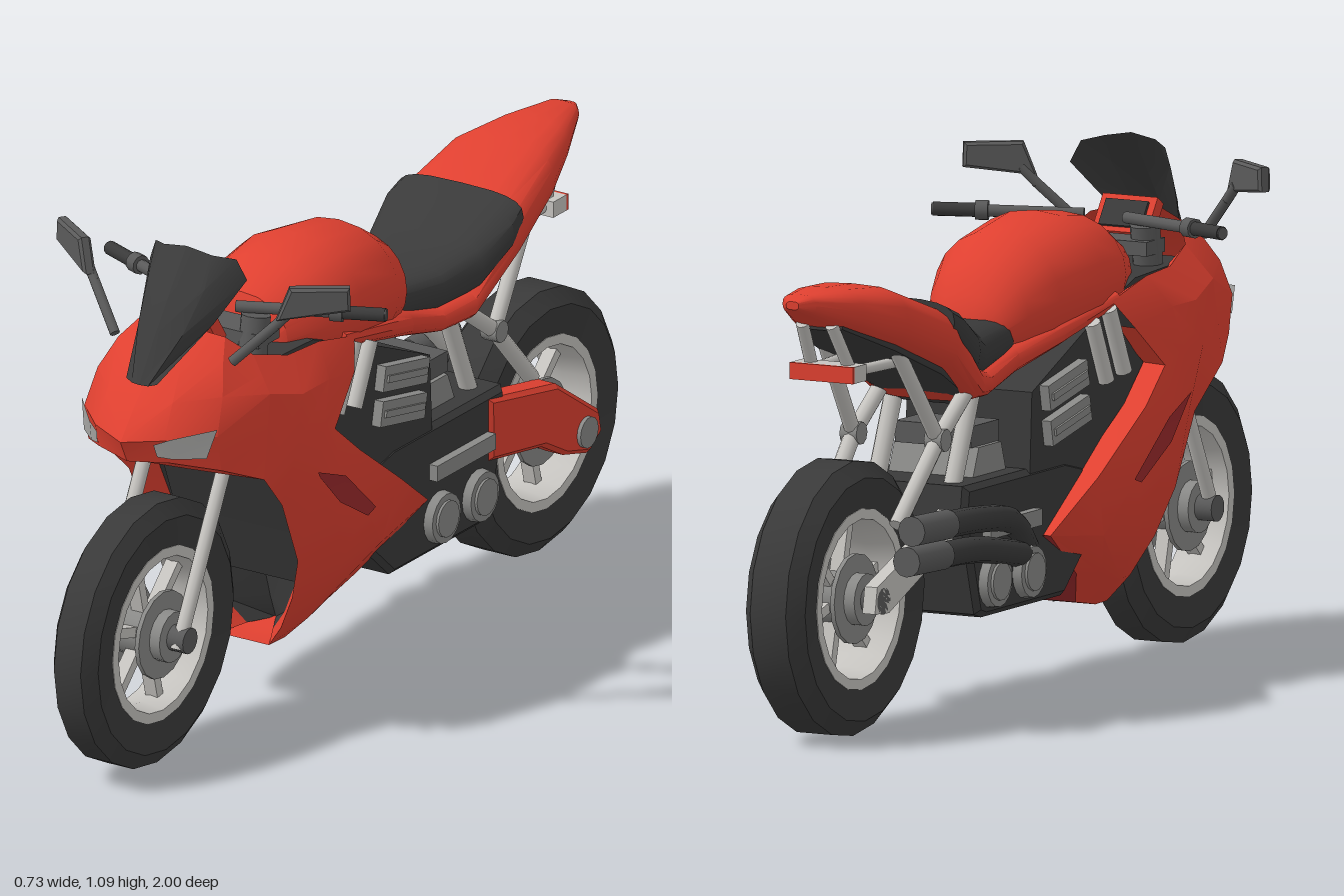
import * as THREE from 'three';
import { toCreasedNormals } from 'three/addons/utils/BufferGeometryUtils.js';

const flat = (name, color, side = THREE.FrontSide) => {
  const m = new THREE.MeshStandardMaterial({ color, side });
  m.name = name;
  return m;
};

export function createModel() {
  const model = new THREE.Group();
  model.name = 'motorcycle';
  const red = flat('red paint', 0xdf4030, THREE.DoubleSide);
  const darkRed = flat('dark red', 0x9c2a2c, THREE.DoubleSide);
  const black = flat('black', 0x3a3a3a, THREE.DoubleSide);
  const tyreMat = flat('tyre rubber', 0x3a3a3a);
  const dark = flat('dark grey', 0x5a5a5a);
  const mid = flat('mid grey', 0x8a8a88);
  const light = flat('light metal', 0xc6c4c0);
  const lens = flat('headlight lens', 0xa6a6a4, THREE.DoubleSide);

  const add = (name, geo, mat, parent = model) => {
    const m = new THREE.Mesh(geo, mat);
    m.name = name;
    parent.add(m);
    return m;
  };
  const box = (name, mat, w, h, d, x, y, z, rx = 0) => {
    const m = add(name, new THREE.BoxGeometry(w, h, d), mat);
    m.position.set(x, y, z);
    m.rotation.x = rx;
    return m;
  };
  const rod = (name, mat, a, b, r, n = 10, r2 = r) => {
    const p = new THREE.Vector3(...a), q = new THREE.Vector3(...b);
    const m = add(name, new THREE.CylinderGeometry(r2, r, p.distanceTo(q), n), mat);
    m.position.copy(p).add(q).multiplyScalar(0.5);
    m.quaternion.setFromUnitVectors(new THREE.Vector3(0, 1, 0), q.sub(p).normalize());
    return m;
  };
  // side profile of [z, y] points, extruded from x0 to x1
  const profile = (name, mat, pts, x0, x1, bevel = 0) => {
    const shape = new THREE.Shape(pts.map(([z, y]) => new THREE.Vector2(-z, y)));
    const geo = new THREE.ExtrudeGeometry(shape, {
      depth: x1 - x0 - 2 * bevel, bevelEnabled: bevel > 0,
      bevelSize: bevel, bevelThickness: bevel, bevelOffset: -bevel, bevelSegments: 1 });
    return add(name, geo.rotateY(Math.PI / 2).translate(x0 + bevel, 0, 0), mat);
  };
  const finish = (pos, idx, crease) => {
    const g = new THREE.BufferGeometry();
    g.setAttribute('position', new THREE.Float32BufferAttribute(pos, 3));
    g.setIndex(idx);
    g.computeVertexNormals();
    return toCreasedNormals(g, crease);
  };
  // skin through rows of points (top to bottom, front to back), made on both sides
  const skin = (name, mat, rows, crease = 0.5) => {
    for (const s of [1, -1]) {
      const n = rows[0].length, idx = [];
      const pos = rows.flat().flatMap(([x, y, z]) => [x * s, y, z]);
      for (let i = 0; i < rows.length - 1; i++) for (let j = 0; j < n - 1; j++) {
        const a = i * n + j, b = a + 1, c = a + n, d = c + 1;
        idx.push(...(s > 0 ? [a, c, b, b, c, d] : [a, b, c, b, d, c]));
      }
      add((s > 0 ? 'left ' : 'right ') + name, finish(pos, idx, crease), mat);
    }
  };
  // rounded cross-sections [z, halfWidth, bottom, top] joined from front to back
  const loft = (name, mat, sections, px = 0.7, py = 0.8, n = 20) => {
    const pos = [], idx = [];
    const pw = (v, p) => Math.sign(v) * Math.abs(v) ** p;
    for (const [z, w, b, t] of sections) for (let j = 0; j < n; j++) {
      const a = j / n * Math.PI * 2;
      pos.push(w * pw(Math.cos(a), px), (b + t) / 2 + (t - b) / 2 * pw(Math.sin(a), py), z);
    }
    const last = sections.length - 1;
    for (let i = 0; i < last; i++) for (let j = 0; j < n; j++) {
      const k = (j + 1) % n, a = i * n + j, b = i * n + k;
      idx.push(a, a + n, b, b, a + n, b + n);
    }
    for (let j = 1; j < n - 1; j++) {
      idx.push(0, j, j + 1, last * n, last * n + j + 1, last * n + j);
    }
    return add(name, finish(pos, idx, 0.6), mat);
  };

  // wheels
  const wheel = (name, z, w) => {
    const g = new THREE.Group();
    g.name = name;
    g.position.set(0, 0.288, z);
    model.add(g);
    const ring = (part, mat, pts) => add(part, toCreasedNormals(new THREE.LatheGeometry(
      pts.map(p => new THREE.Vector2(...p)), 20).rotateZ(Math.PI / 2), 0.6), mat, g);
    ring('tyre', tyreMat, [[0.187, -w * 0.85], [0.255, -w], [0.288, -w * 0.6],
      [0.288, w * 0.6], [0.255, w], [0.187, w * 0.85], [0.187, -w * 0.85]]);
    const r = w * 0.88;
    ring('rim', light, [[0.168, -r], [0.19, -r], [0.19, r], [0.168, r], [0.16, 0], [0.168, -r]]);
    for (let i = 0; i < 6; i++) {
      const a = i * Math.PI / 3 + 0.25;
      const s = add('spoke', new THREE.BoxGeometry(0.03, 0.13, 0.022), light, g);
      s.position.set(0, Math.cos(a) * 0.11, Math.sin(a) * 0.11);
      s.rotation.x = a;
    }
    const disc = (part, mat, rad, len, x = 0) =>
      add(part, new THREE.CylinderGeometry(rad, rad, len, 16).rotateZ(Math.PI / 2), mat, g).position.x = x;
    disc('hub', mid, 0.055, 0.15);
    disc('axle', dark, 0.028, 0.23);
    disc('right brake disc', mid, 0.095, 0.01, -0.045);
    disc('left brake disc', mid, 0.095, 0.01, 0.045);
  };
  wheel('front wheel', 0.712, 0.055);
  wheel('rear wheel', -0.712, 0.07);

  // nose cowl, with a lip turned under it
  skin('nose cowl', red, [
    [[0, 0.925, 0.6], [0.05, 0.93, 0.59], [0.105, 0.915, 0.565], [0.145, 0.87, 0.52]],
    [[0, 0.865, 0.68], [0.06, 0.88, 0.66], [0.13, 0.88, 0.61], [0.1725, 0.835, 0.53]],
    [[0, 0.8, 0.745], [0.08, 0.815, 0.725], [0.155, 0.82, 0.65], [0.2, 0.8, 0.54]],
    [[0, 0.735, 0.8], [0.085, 0.745, 0.765], [0.165, 0.745, 0.685], [0.2025, 0.71, 0.555]],
    [[0, 0.685, 0.775], [0.09, 0.69, 0.745], [0.165, 0.665, 0.67], [0.205, 0.62, 0.57]],
    [[0, 0.658, 0.7], [0.08, 0.655, 0.68], [0.14, 0.635, 0.62], [0.165, 0.6, 0.53]]]);
  skin('headlight', lens, [
    [[0.07, 0.738, 0.782], [0.1, 0.75, 0.764], [0.168, 0.763, 0.69]],
    [[0.074, 0.71, 0.774], [0.1, 0.705, 0.758], [0.152, 0.7, 0.706]]]);

  // side fairing down to the belly
  const side = [
    [[0.12, 0.8, 0.5], [0.12, 0.8, 0.42], [0.12, 0.8, 0.31], [0.11, 0.77, 0.17]],
    [[0.145, 0.87, 0.52], [0.165, 0.84, 0.42], [0.17, 0.835, 0.31], [0.165, 0.8, 0.17]],
    [[0.2, 0.8, 0.54], [0.215, 0.77, 0.44], [0.215, 0.77, 0.34], [0.195, 0.74, 0.215]],
    [[0.205, 0.62, 0.57], [0.222, 0.68, 0.46], [0.224, 0.68, 0.37], [0.212, 0.65, 0.313]],
    [[0.19, 0.53, 0.48], [0.222, 0.55, 0.4], [0.227, 0.57, 0.32], [0.215, 0.575, 0.225]],
    [[0.183, 0.38, 0.41], [0.212, 0.42, 0.3], [0.215, 0.44, 0.2], [0.2, 0.45, 0.05]],
    [[0.15, 0.28, 0.382], [0.18, 0.3, 0.26], [0.185, 0.32, 0.1], [0.17, 0.345, -0.1]],
    [[0.105, 0.196, 0.356], [0.125, 0.2, 0.28], [0.125, 0.22, 0.2], [0.12, 0.235, 0.1]],
    [[0.062, 0.142, 0.335], [0.065, 0.142, 0.28], [0.065, 0.15, 0.24], [0.065, 0.158, 0.195]],
    [[0, 0.142, 0.335], [0, 0.142, 0.28], [0, 0.15, 0.24], [0, 0.158, 0.195]]];
  skin('side fairing', red, side);
  const inset = ([x, y, z]) => [x - 0.03, y + 0.01, z - 0.06];
  skin('fairing front lip', red, side.slice(3, 9).map(r => [inset(r[0]), r[0]]));
  skin('fairing liner', black, side.slice(3, 9).map(r => [[0, r[0][1] + 0.01, r[0][2] - 0.12], inset(r[0])]));
  skin('fairing rear lip', red, side.slice(2, 8).map(r => {
    const [x, y, z] = r[3];
    return [[x, y, z], [x - 0.06, y, z + 0.015]];
  }));
  skin('belly pan', darkRed, side.slice(6, 9).map(r => [r[3], [0, r[3][1], r[3][2]]]));
  skin('fairing vent', darkRed, [
    [[0.227, 0.585, 0.4], [0.23, 0.545, 0.3], [0.219, 0.43, 0.17]],
    [[0.225, 0.57, 0.39], [0.226, 0.49, 0.315], [0.219, 0.42, 0.2]]]);

  // windscreen
  skin('windscreen', black, [
    [[0, 1.09, 0.55], [0.06, 1.08, 0.545], [0.1, 1.07, 0.515]],
    [[0, 1.02, 0.605], [0.07, 1.02, 0.59], [0.12, 1.025, 0.505]],
    [[0, 0.93, 0.67], [0.055, 0.935, 0.65], [0.088, 0.945, 0.585]],
    [[0, 0.84, 0.73], [0.02, 0.84, 0.727], [0.038, 0.845, 0.72]]], 0.8);

  // tank, seat and tail
  loft('fuel tank', red, [[0.365, 0.09, 0.76, 0.87], [0.345, 0.115, 0.75, 0.92], [0.25, 0.155, 0.72, 0.967],
    [0.14, 0.168, 0.7, 0.983], [-0.02, 0.15, 0.69, 0.96], [-0.1, 0.118, 0.69, 0.91],
    [-0.15, 0.085, 0.7, 0.845], [-0.172, 0.04, 0.71, 0.79]], 0.9, 1);
  loft('tail body', red, [[0.2, 0.17, 0.77, 0.83], [0, 0.15, 0.715, 0.79], [-0.13, 0.115, 0.675, 0.75],
    [-0.25, 0.118, 0.645, 0.715], [-0.33, 0.142, 0.65, 0.735], [-0.47, 0.158, 0.73, 0.875],
    [-0.635, 0.13, 0.8, 0.935], [-0.75, 0.09, 0.85, 0.943], [-0.865, 0.04, 0.9, 0.943],
    [-0.895, 0.015, 0.915, 0.932]], 0.6, 0.8);
  loft('seat', black, [[-0.03, 0.09, 0.72, 0.775], [-0.12, 0.095, 0.71, 0.802], [-0.26, 0.108, 0.69, 0.79],
    [-0.35, 0.143, 0.705, 0.825], [-0.44, 0.16, 0.765, 0.873], [-0.482, 0.155, 0.8, 0.888]], 0.6, 0.7);
  loft('undertray', black, [[-0.3, 0.1, 0.64, 0.68], [-0.47, 0.12, 0.722, 0.76],
    [-0.635, 0.1, 0.793, 0.83], [-0.78, 0.055, 0.857, 0.88]], 0.4, 0.5);

  // frame and engine
  profile('inner body', black, [[0.54, 0.84], [0.45, 0.62], [0.37, 0.42], [0.32, 0.29], [0.1, 0.29],
    [-0.05, 0.32], [-0.15, 0.45], [-0.14, 0.65], [0.17, 0.785], [0.3, 0.83]], -0.148, 0.148);
  profile('engine block', black, [[0.14, 0.33], [0.08, 0.47], [0, 0.49], [-0.42, 0.49], [-0.43, 0.42],
    [-0.37, 0.215], [-0.34, 0.205], [0, 0.205]], -0.15, 0.15, 0.012);
  profile('shock base', mid, [[-0.185, 0.55], [-0.28, 0.55], [-0.305, 0.49], [-0.165, 0.49]], -0.1, 0.1);
  box('shock cap', dark, 0.18, 0.045, 0.12, 0, 0.572, -0.235);
  for (const s of [1, -1]) {
    for (const z of [-0.17, -0.315]) {
      rod('engine cover', mid, [s * 0.14, 0.28, z], [s * 0.17, 0.28, z], 0.058, 16, 0.054);
      rod('engine cover cap', mid, [s * 0.165, 0.28, z], [s * 0.176, 0.28, z], 0.04, 14);
    }
    box('engine rail', mid, 0.03, 0.035, 0.22, s * 0.155, 0.39, -0.245);
    for (const [z, y] of [[-0.02, 0.65], [-0.01, 0.575]]) {
      box('cooling fin block', mid, 0.03, 0.055, 0.17, s * 0.155, y, z, -0.2);
      box('cooling fin', mid, 0.04, 0.015, 0.15, s * 0.155, y, z, -0.2);
    }
    rod('front frame strut', light, [s * 0.16, 0.645, 0.23], [s * 0.16, 0.785, 0.165], 0.018);
    rod('rear frame strut', light, [s * 0.157, 0.635, 0.16], [s * 0.157, 0.765, 0.1], 0.018);

    // rear subframe
    const joint = [s * 0.1, 0.59, -0.455];
    rod('upper subframe tube', light, [s * 0.1, 0.7, -0.3], joint, 0.018);
    rod('lower subframe tube', light, joint, [s * 0.09, 0.43, -0.61], 0.018);
    rod('tail support', light, joint, [s * 0.08, 0.85, -0.64], 0.017);
    rod('subframe joint', mid, [s * 0.08, 0.59, -0.455], [s * 0.12, 0.59, -0.455], 0.024);
    rod('seat support', light, [s * 0.09, 0.68, -0.29], [s * 0.09, 0.48, -0.375], 0.02);
    rod('tail light tube', light, [s * 0.07, 0.765, -0.5], [s * 0.045, 0.765, -0.73], 0.012);
    rod('tail light stay', light, [s * 0.045, 0.77, -0.73], [s * 0.035, 0.87, -0.79], 0.014);

    // front fork and handlebar
    rod('fork leg', light, [s * 0.096, 0.27, 0.73], [s * 0.096, 0.85, 0.44], 0.016);
    rod('fork cap', dark, [s * 0.096, 0.83, 0.45], [s * 0.096, 0.92, 0.435], 0.032);
    rod('handlebar', dark, [s * 0.05, 0.93, 0.44], [s * 0.345, 0.935, 0.32], 0.013);
    rod('handgrip', black, [s * 0.26, 0.934, 0.355], [s * 0.342, 0.935, 0.321], 0.015);
    rod('grip collar', dark, [s * 0.235, 0.934, 0.365], [s * 0.26, 0.934, 0.355], 0.021);

    // mirror
    rod('mirror stem', dark, [s * 0.145, 0.88, 0.6], [s * 0.225, 0.965, 0.555], 0.011);
    rod('mirror arm', dark, [s * 0.225, 0.965, 0.555], [s * 0.255, 1.0, 0.54], 0.011);
    const head = new THREE.Shape([[-0.078, -0.034], [-0.05, 0.038], [0.075, 0.038], [0.077, -0.014]]
      .map(([x, y]) => new THREE.Vector2(s * x, y)));
    const mirror = add('mirror', new THREE.ExtrudeGeometry(head, { depth: 0.016, bevelSize: 0.006,
      bevelThickness: 0.006, bevelOffset: -0.006, bevelSegments: 1 }).translate(0, 0, -0.008), dark);
    mirror.position.set(s * 0.295, 1.015, 0.52);
    mirror.rotation.y = s * 0.6;
  }
  box('fork clamp', dark, 0.25, 0.03, 0.08, 0, 0.875, 0.43);
  box('instrument frame', red, 0.13, 0.085, 0.03, 0, 0.915, 0.535, 0.6);
  box('instrument display', black, 0.1, 0.06, 0.008, 0, 0.924, 0.519, 0.6);
  box('tail light bracket', light, 0.15, 0.035, 0.05, 0, 0.765, -0.74);
  box('tail light', red, 0.15, 0.035, 0.008, 0, 0.765, -0.768);

  // swingarm
  profile('left swingarm cover', red, [[-0.356, 0.48], [-0.61, 0.43], [-0.77, 0.32], [-0.78, 0.27],
    [-0.73, 0.235], [-0.64, 0.26], [-0.56, 0.305], [-0.356, 0.34]], 0.095, 0.158, 0.01);
  rod('left axle cap', mid, [0.15, 0.29, -0.712], [0.167, 0.29, -0.712], 0.034, 14);
  profile('right swingarm', light, [[-0.4, 0.45], [-0.74, 0.32], [-0.75, 0.265], [-0.69, 0.26], [-0.4, 0.38]],
    -0.115, -0.085);

  // twin exhaust
  for (const [dx, y] of [[0, 0.435], [0.012, 0.37]]) {
    const path = new THREE.CatmullRomCurve3([[-0.12, 0.3, -0.1], [-0.16, y - 0.04, -0.25],
      [-0.18 + dx, y - 0.01, -0.42], [-0.185 + dx, y, -0.6]].map(p => new THREE.Vector3(...p)));
    add('exhaust pipe', new THREE.TubeGeometry(path, 14, 0.028, 10), black);
    rod('exhaust tip', dark, [-0.185 + dx, y, -0.57], [-0.185 + dx, y + 0.005, -0.72], 0.032, 12);
  }
  return model;
}
